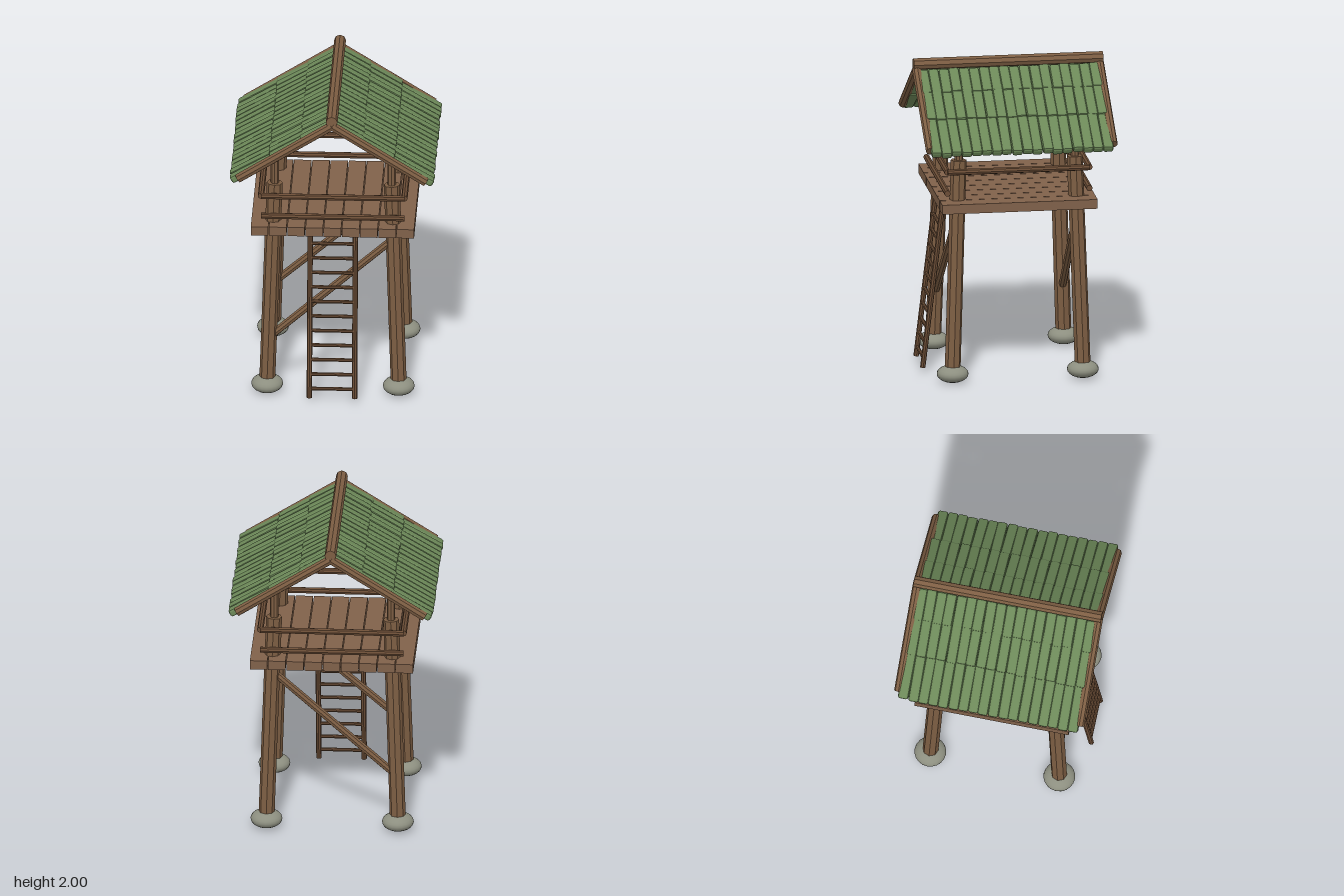
import * as THREE from 'three';
import { RoundedBoxGeometry } from 'three/addons/geometries/RoundedBoxGeometry.js';

const mat = (name, color, flatShading = false) => {
  const m = new THREE.MeshStandardMaterial({ color, flatShading });
  m.name = name;
  return m;
};

export function createModel() {
  const root = new THREE.Group();
  root.name = 'watchtower';

  const wood = mat('wood', 0x7d5e43, true);
  const plankWood = mat('plank wood', 0x80614a, true);
  const darkWood = mat('dark wood', 0x6b4d36, true);
  const thatch = mat('green tile', 0x6c8858, true);
  const stone = mat('stone', 0x8d8f80);

  // Small seeded generator, returns -1..1
  let seed = 7;
  const rnd = () => {
    seed = (seed * 16807) % 2147483647;
    return (seed / 2147483647) * 2 - 1;
  };

  const group = (name) => {
    const g = new THREE.Group();
    g.name = name;
    root.add(g);
    return g;
  };

  const add = (parent, name, geometry, material) => {
    const mesh = new THREE.Mesh(geometry, material);
    mesh.name = name;
    parent.add(mesh);
    return mesh;
  };

  // Eight-sided pole between two points
  const up = new THREE.Vector3(0, 1, 0);
  const pole = (parent, name, a, b, r, material) => {
    const from = new THREE.Vector3(...a);
    const dir = new THREE.Vector3(...b).sub(from);
    const mesh = add(parent, name, new THREE.CylinderGeometry(r, r, dir.length(), 8), material);
    mesh.position.copy(from).addScaledVector(dir, 0.5);
    mesh.quaternion.setFromUnitVectors(up, dir.normalize());
    return mesh;
  };

  // Leaning legs on stone footings, with thin posts above
  const legs = group('legs');
  const legAt = (y) => 0.415 - 0.033 * y;
  for (const sx of [-1, 1]) {
    for (const sz of [-1, 1]) {
      const foot = legAt(0.05), top = legAt(1.43);
      pole(legs, 'leg', [sx * foot, 0.05, sz * foot], [sx * top, 1.43, sz * top], 0.05, wood);
      pole(legs, 'roofPost', [sx * 0.367, 1.4, sz * 0.367], [sx * 0.367, 1.6, sz * 0.367], 0.026, wood);
      const footing = add(legs, 'footing', new THREE.SphereGeometry(0.1, 20, 12), stone);
      footing.scale.y = 0.55;
      footing.position.set(sx * 0.413, 0.056, sz * 0.413);
    }
  }

  // Diagonal braces on front and back
  const braces = group('braces');
  for (const sz of [-1, 1]) {
    const lo = legAt(0.37), hi = legAt(1.06);
    pole(braces, 'brace', [-lo, 0.37, sz * lo], [hi, 1.06, sz * hi], 0.025, wood);
  }

  // Platform planks running front to back
  const platform = group('platform');
  for (let i = 0; i < 9; i++) {
    const plank = add(platform, 'plank', new THREE.BoxGeometry(0.109, 0.06, 0.985), plankWood);
    plank.position.set((i - 4) * 0.1145, 1.147, 0);
  }

  // Railings: two bars at front and back, one on each side
  const railing = group('railing');
  for (const s of [-1, 1]) {
    const e = 0.45;
    pole(railing, 'upperRail', [-e, 1.372, s * e], [e, 1.372, s * e], 0.02, darkWood);
    pole(railing, 'lowerRail', [-e, 1.235, s * e], [e, 1.235, s * e], 0.02, darkWood);
    pole(railing, 'sideRail', [s * e, 1.372, -e], [s * e, 1.372, e], 0.02, darkWood);
  }

  // Ladder leaning on the front edge
  const ladder = group('ladder');
  const ladderZ = (y) => 0.562 - (y - 0.03) * 0.12;
  for (const s of [-1, 1]) {
    pole(ladder, 'ladderRail', [s * 0.142, 0.03, ladderZ(0.03)], [s * 0.142, 1.13, ladderZ(1.13)], 0.017, darkWood);
  }
  for (let i = 0; i < 11; i++) {
    const y = 0.09 + i * 0.0955;
    pole(ladder, 'rung', [-0.142, y, ladderZ(y)], [0.142, y, ladderZ(y)], 0.012, darkWood);
  }

  // Roof frame: ridge pole and gable rafters
  const roof = group('roof');
  const slope = 0.64, angle = Math.atan(slope);
  const roofY = (t) => 1.93 - slope * t;
  pole(roof, 'ridgePole', [0, 1.963, -0.6], [0, 1.963, 0.6], 0.037, wood);
  for (const sx of [-1, 1]) {
    for (const sz of [-1, 1]) {
      pole(roof, 'rafter', [0, roofY(0), sz * 0.578], [sx * 0.59, roofY(0.59), sz * 0.578], 0.03, wood);
    }
  }

  // Overlapping tiles: three rows of eighteen on each slope
  const rows = [[0.63, 0.37], [0.385, 0.13], [0.19, 0.015]];
  rows.forEach(([low, high]) => {
    const length = (low - high) / Math.cos(angle);
    const tile = new RoundedBoxGeometry(length, 0.05, 0.066, 1, 0.014);
    for (const s of [-1, 1]) {
      for (let i = 0; i < 18; i++) {
        const t = (low + high) / 2 + rnd() * 0.004;
        const mesh = add(roof, 'tile', tile, thatch);
        mesh.position.set(s * t, roofY(t) + rnd() * 0.003, (i - 8.5) * 0.0638 + rnd() * 0.002);
        mesh.rotation.set(0, rnd() * 0.015, -s * (angle - 0.035 + rnd() * 0.012));
      }
    }
  });

  return root;
}
